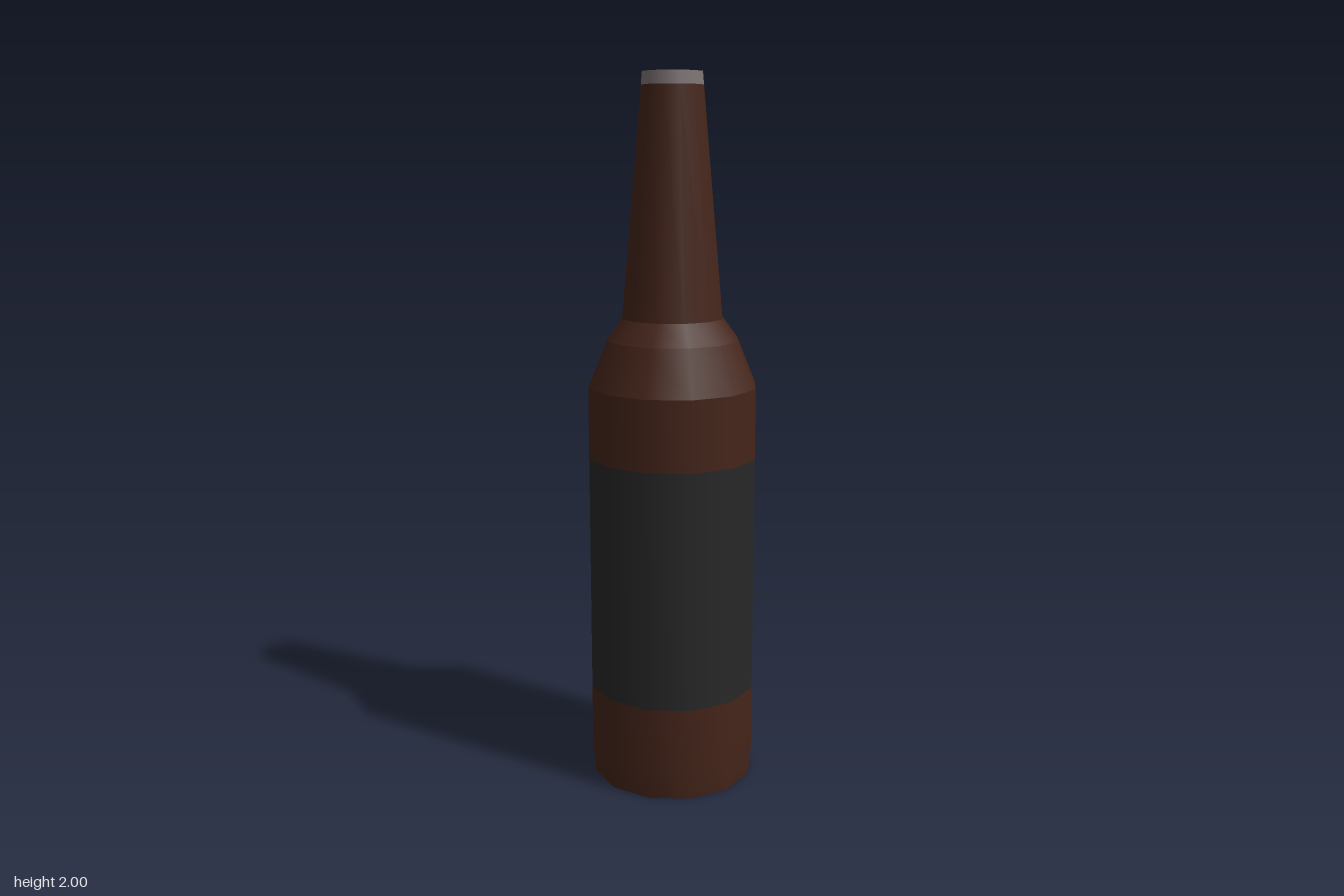
import * as THREE from 'three';

const SIDES = 12;
const material = (color) => new THREE.MeshStandardMaterial({ color });

export function createModel() {
  const bottle = new THREE.Group();
  bottle.name = 'bottle';
  const glass = material(0x45251a);
  const paper = material(0x282828);
  const metal = material(0x7d7373);

  // One turned band: smooth around, with a crease where it meets the next band
  function band(name, mat, ...profile) {
    const points = profile.map(([r, y]) => new THREE.Vector2(r, y));
    const mesh = new THREE.Mesh(new THREE.LatheGeometry(points, SIDES), mat);
    mesh.name = name;
    bottle.add(mesh);
  }

  // Glass body below the label
  band('base', glass, [0, 0], [0.232, 0]);
  band('lowerBody', glass, [0.232, 0], [0.24, 0.08], [0.24, 0.27]);

  // Label wrapped flush around the body
  band('label', paper, [0.24, 0.27], [0.24, 0.95]);

  // Glass above the label
  band('upperBody', glass, [0.24, 0.95], [0.24, 1.15]);
  band('lowerShoulder', glass, [0.24, 1.15], [0.187, 1.28]);
  band('upperShoulder', glass, [0.187, 1.28], [0.143, 1.34]);
  band('neck', glass, [0.143, 1.34], [0.087, 1.965]);

  // Metal cap
  band('capRim', metal, [0.087, 1.965], [0.084, 2]);
  band('capTop', metal, [0.084, 2], [0, 2]);

  return bottle;
}
